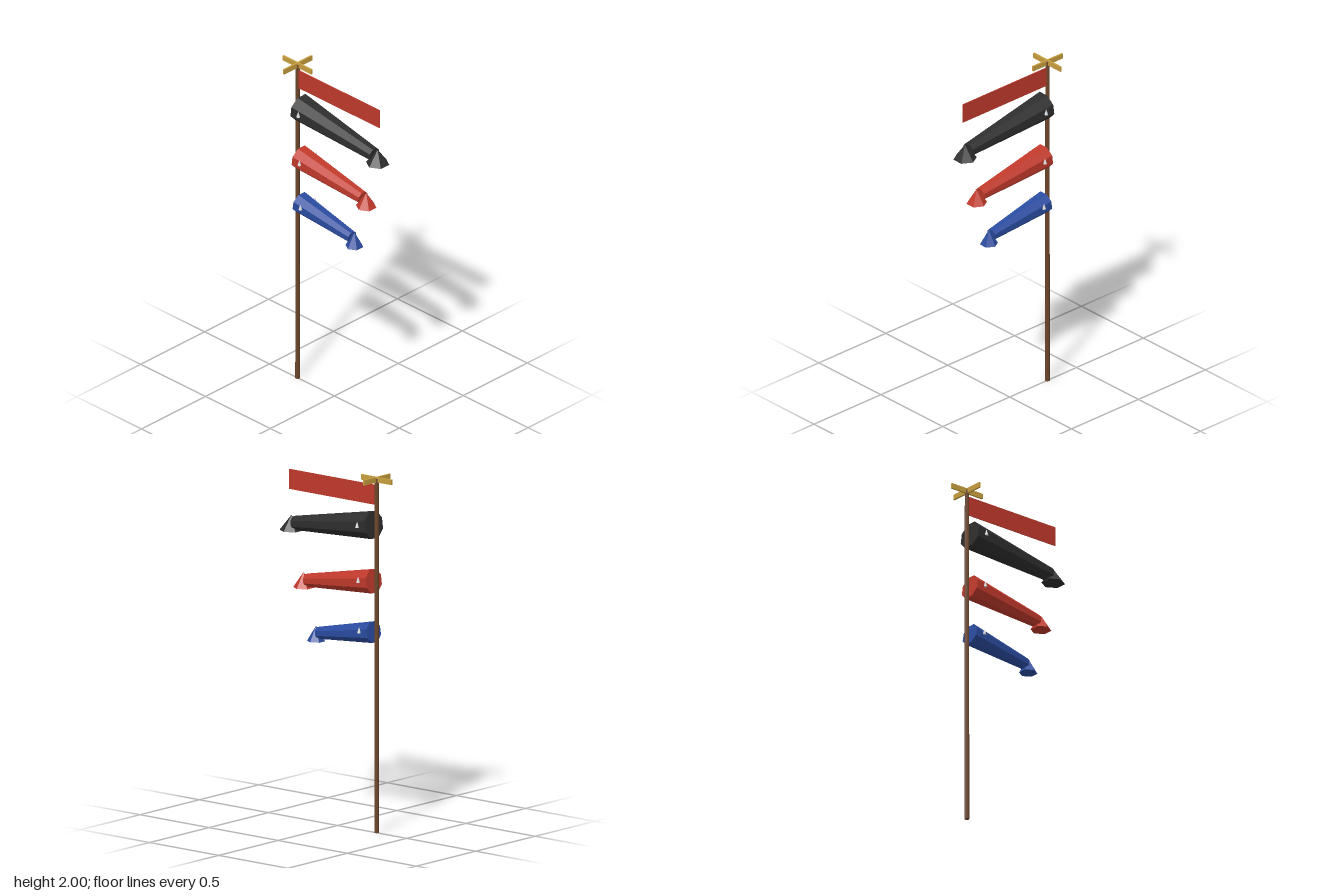
import * as THREE from 'three';

const mat = (name, color, extra = {}) => {
  const m = new THREE.MeshStandardMaterial({ color, flatShading: true, ...extra });
  m.name = name;
  return m;
};

export function createModel() {
  const model = new THREE.Group();
  model.name = 'carpStreamerPole';

  const wood = mat('brown wood', 0x6b4529);
  const gold = mat('gold', 0xc9a03f);
  const red = mat('red cloth', 0xc0392b);
  const black = mat('black cloth', 0x2e2e2e);
  const blue = mat('blue cloth', 0x2a4b9f);
  const silver = mat('pale eye', 0xdcdcdc);

  const add = (parent, name, geo, material, x, y, z) => {
    const mesh = new THREE.Mesh(geo, material);
    mesh.name = name;
    mesh.position.set(x, y, z);
    parent.add(mesh);
    return mesh;
  };

  const poleX = -0.283;

  // Pole and crossed finial
  add(model, 'pole', new THREE.CylinderGeometry(0.012, 0.013, 1.99, 8), wood, poleX, 0.995, 0);
  add(model, 'finialArmX', new THREE.BoxGeometry(0.22, 0.03, 0.01), gold, poleX, 1.985, 0);
  add(model, 'finialArmZ', new THREE.BoxGeometry(0.01, 0.03, 0.22), gold, poleX, 1.985, 0);

  // Flat pennant
  add(model, 'pennant', new THREE.BoxGeometry(0.63, 0.112, 0.005), red, 0.035, 1.898, 0);

  // Tapered octagonal body from mouth to tail, cone tail fin and a pair of eyes
  const fish = (name, material, s) => {
    const group = new THREE.Group();
    group.name = name;
    const mouth = new THREE.Vector3(-0.262, s.mouthY, 0);
    const end = new THREE.Vector3(s.endX, s.endY, 0);
    const dir = end.clone().sub(mouth);

    const bodyGeo = new THREE.CylinderGeometry(s.r1, s.r0, dir.length(), 8);
    bodyGeo.rotateY(Math.PI / 8);
    const mid = mouth.clone().add(end).multiplyScalar(0.5);
    const body = add(group, 'body', bodyGeo, material, mid.x, mid.y, 0);
    body.rotation.z = Math.atan2(dir.y, dir.x) - Math.PI / 2;

    add(group, 'tailFin', new THREE.ConeGeometry(s.tailR, 0.086, 6), material, s.tailX, s.tailY, 0);

    for (const side of [1, -1]) {
      add(group, side > 0 ? 'frontEye' : 'backEye', new THREE.ConeGeometry(0.011, 0.034, 6),
        silver, -0.205, s.eyeY, side * s.eyeZ);
    }
    model.add(group);
  };

  fish('blackCarp', black, {
    mouthY: 1.727, endX: 0.308, endY: 1.657, r0: 0.08, r1: 0.04,
    tailR: 0.066, tailX: 0.334, tailY: 1.655, eyeY: 1.733, eyeZ: 0.074,
  });
  fish('redCarp', red, {
    mouthY: 1.411, endX: 0.22, endY: 1.348, r0: 0.07, r1: 0.037,
    tailR: 0.058, tailX: 0.246, tailY: 1.346, eyeY: 1.423, eyeZ: 0.065,
  });
  fish('blueCarp', blue, {
    mouthY: 1.125, endX: 0.136, endY: 1.064, r0: 0.062, r1: 0.034,
    tailR: 0.051, tailX: 0.155, tailY: 1.058, eyeY: 1.138, eyeZ: 0.057,
  });

  return model;
}
